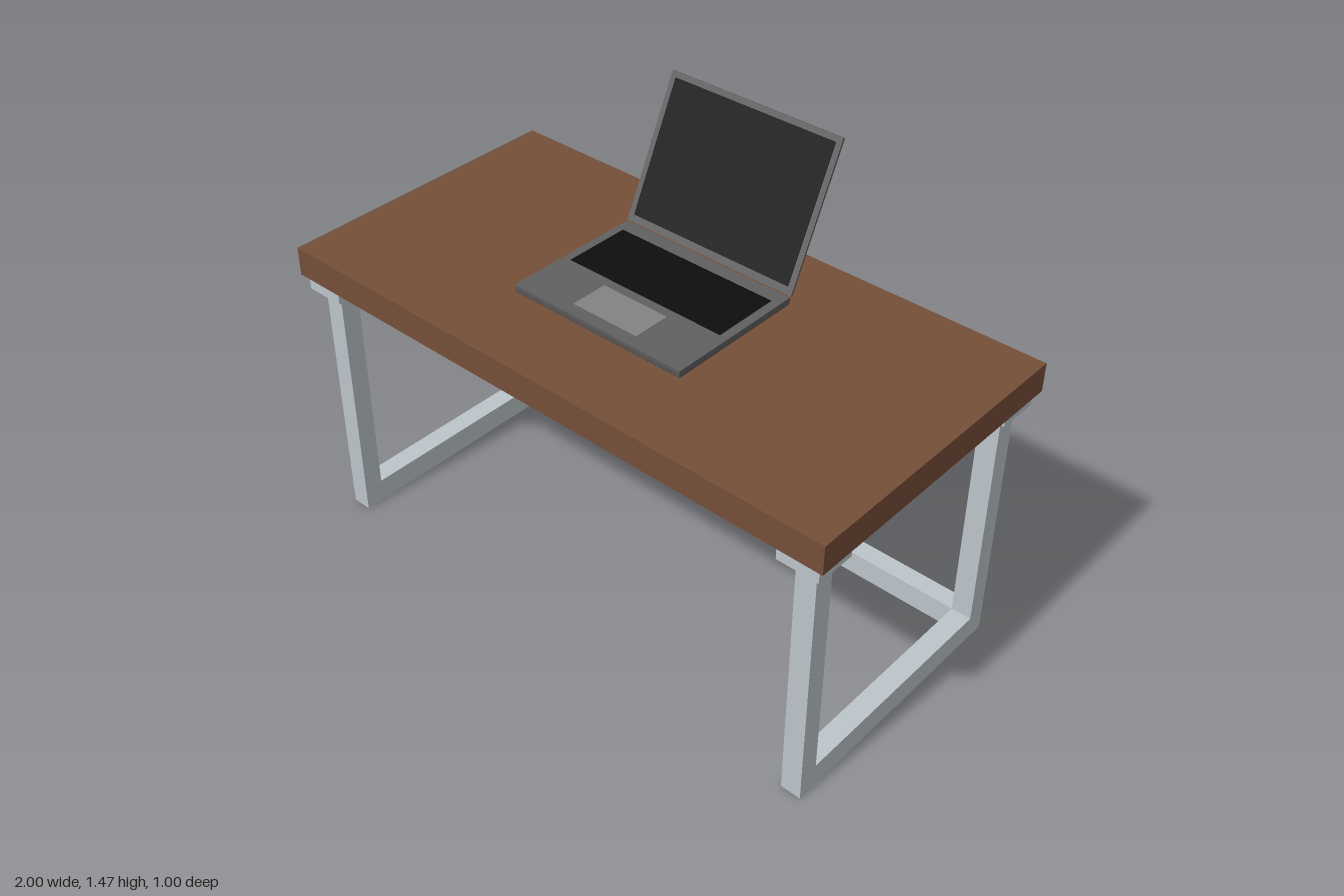
import * as THREE from 'three';
import { toCreasedNormals } from 'three/addons/utils/BufferGeometryUtils.js';

const mat = (color) => new THREE.MeshStandardMaterial({ color });

// Box given by its min and max corners
function block(parent, name, material, [x0, y0, z0], [x1, y1, z1]) {
  const mesh = new THREE.Mesh(new THREE.BoxGeometry(x1 - x0, y1 - y0, z1 - z0), material);
  mesh.position.set((x0 + x1) / 2, (y0 + y1) / 2, (z0 + z1) / 2);
  mesh.name = name;
  parent.add(mesh);
  return mesh;
}

// Flat plate whose underside edges curve inward over the given radius
function roundedPlate(w, h, d, radius) {
  const rows = 6;
  const geo = new THREE.BoxGeometry(w, h, d, 1, rows, 1);
  const p = geo.attributes.position;
  for (let i = 0; i < p.count; i++) {
    const row = Math.round((p.getY(i) / h + 0.5) * rows);
    if (row === rows) continue;
    const a = (row / (rows - 1)) * Math.PI / 2;
    const inset = radius * (1 - Math.sin(a));
    p.setX(i, p.getX(i) - Math.sign(p.getX(i)) * inset);
    p.setZ(i, p.getZ(i) - Math.sign(p.getZ(i)) * inset);
    p.setY(i, -h / 2 + radius * (1 - Math.cos(a)));
  }
  return toCreasedNormals(geo, 0.6);
}

export function createModel() {
  const model = new THREE.Group();
  const wood = mat(0x754f38), metal = mat(0xbcc5ca);
  const casing = mat(0x606060), black = mat(0x0e0e0e), padGrey = mat(0x838383);

  // Desk
  const desk = new THREE.Group();
  desk.name = 'desk';
  model.add(desk);
  block(desk, 'tabletop', wood, [-1, 0.91, -0.5], [1, 1.005, 0.5]);
  for (const sx of [-1, 1]) {
    const side = sx < 0 ? 'right' : 'left';
    for (const sz of [-1, 1]) {
      const end = sz < 0 ? 'Back' : 'Front';
      const leg = block(desk, side + end + 'Leg', metal, [-0.0335, 0, -0.0325], [0.0335, 0.86, 0.0325]);
      leg.position.x = sx * 0.9165;
      leg.position.z = sz * 0.4175;
      const cap = block(desk, side + end + 'LegCap', metal, [-0.0675, 0.86, -0.0675], [0.0675, 0.91, 0.0675]);
      cap.position.x = sx * 0.9125;
      cap.position.z = sz * 0.4175;
    }
    const rail = block(desk, side + 'FootRail', metal, [-0.0335, 0, -0.385], [0.0335, 0.08, 0.385]);
    rail.position.x = sx * 0.9165;
  }
  block(desk, 'backFootRail', metal, [-0.883, 0, -0.45], [0.883, 0.08, -0.385]);

  // Laptop base with keyboard and touchpad
  const laptop = new THREE.Group();
  laptop.name = 'laptop';
  laptop.position.x = -0.008;
  model.add(laptop);
  const base = new THREE.Mesh(roundedPlate(0.634, 0.037, 0.478, 0.023), casing);
  base.name = 'laptopBase';
  base.position.y = 1.0235;
  laptop.add(base);
  block(laptop, 'keyboard', black, [-0.288, 1.035, -0.19], [0.288, 1.0435, 0.037]);
  block(laptop, 'touchpad', padGrey, [-0.121, 1.035, 0.07], [0.121, 1.0435, 0.197]);

  // Lid, leaning back, with its screen
  const lid = new THREE.Group();
  lid.name = 'lid';
  lid.position.set(0, 1.255, -0.351);
  lid.rotation.x = THREE.MathUtils.degToRad(64.5);
  laptop.add(lid);
  const lidShell = new THREE.Mesh(roundedPlate(0.634, 0.014, 0.475, 0.009), casing);
  lidShell.name = 'lidShell';
  lid.add(lidShell);
  block(lid, 'screen', black, [-0.298, 0.002, -0.219], [0.298, 0.0082, 0.214]);

  return model;
}
